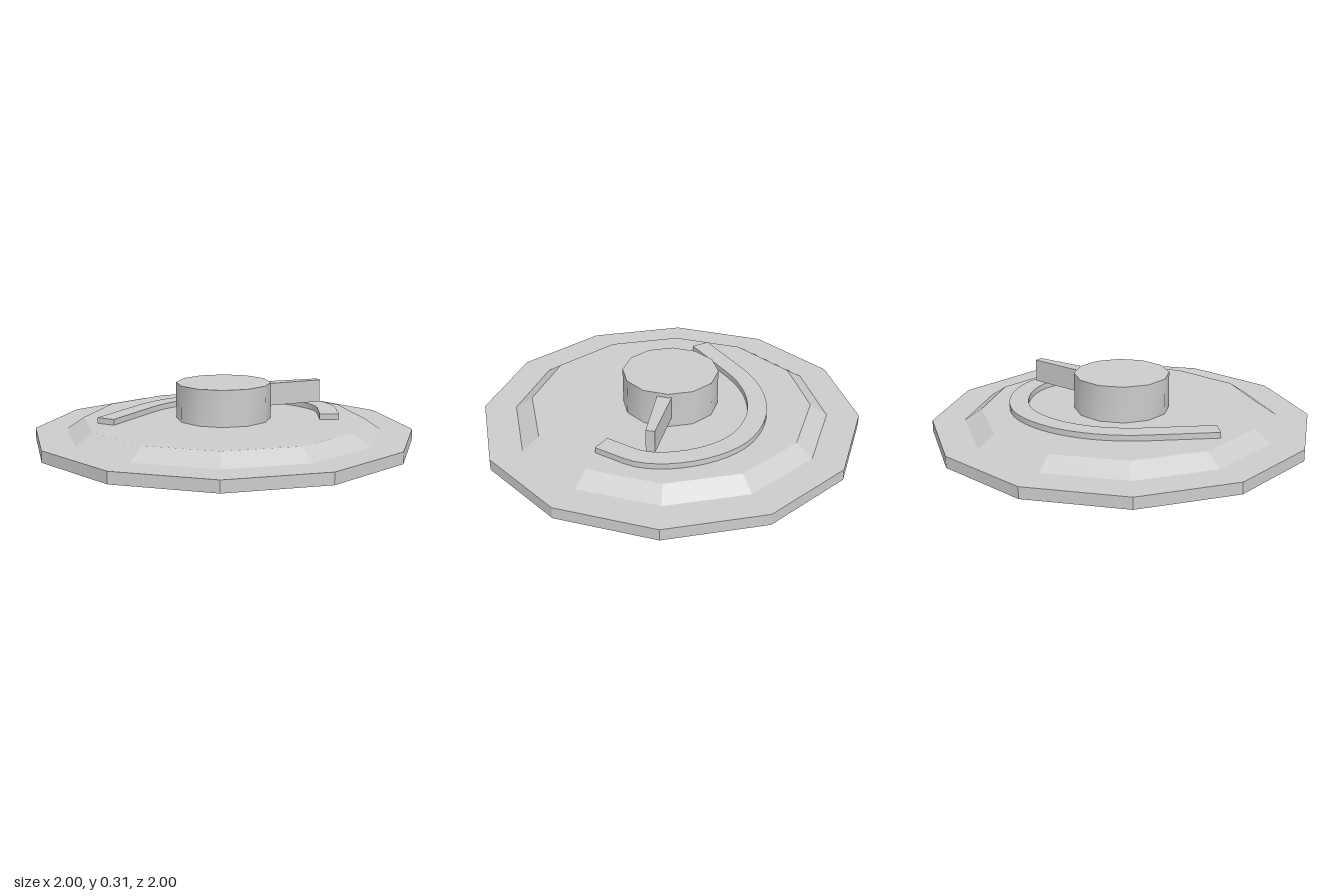
import * as THREE from 'three';
import { mergeGeometries, toCreasedNormals } from 'three/addons/utils/BufferGeometryUtils.js';

const smooth = new THREE.MeshStandardMaterial({ color: 0xcccccc, side: THREE.DoubleSide });
const flat = new THREE.MeshStandardMaterial({ color: 0xcccccc, side: THREE.DoubleSide, flatShading: true });
const V2 = (x, y) => new THREE.Vector2(x, y);

// Plan outlines use (x, -z) and run counter-clockwise seen from above.
const polygon = (r, n = 12) => Array.from({ length: n }, (_, i) =>
  V2(r * Math.cos(i * 2 * Math.PI / n), r * Math.sin(i * 2 * Math.PI / n)));

function mesh(name, geometry, material) {
  const m = new THREE.Mesh(geometry, material);
  m.name = name;
  return m;
}

// Flat horizontal sheet at height y
function sheet(outline, y, holes = []) {
  const shape = new THREE.Shape(outline);
  shape.holes = holes.map(h => new THREE.Path(h));
  return new THREE.ShapeGeometry(shape).rotateX(-Math.PI / 2).translate(0, y, 0);
}

// Raised boss: side walls and a top, left open underneath
function raised(outline, y0, y1) {
  const pos = [];
  outline.forEach((a, i) => {
    const b = outline[(i + 1) % outline.length];
    const a0 = [a.x, y0, -a.y], b0 = [b.x, y0, -b.y];
    const a1 = [a.x, y1, -a.y], b1 = [b.x, y1, -b.y];
    pos.push(...a0, ...b0, ...b1, ...a0, ...b1, ...a1);
  });
  const walls = new THREE.BufferGeometry();
  walls.setAttribute('position', new THREE.Float32BufferAttribute(pos, 3));
  const top = sheet(outline, y1).toNonIndexed();
  top.deleteAttribute('uv');
  top.deleteAttribute('normal');
  return toCreasedNormals(mergeGeometries([walls, top]), Math.PI * 35 / 180);
}

// Constant-width band around the hooked centre line
function bandOutline(half) {
  const right = new THREE.CubicBezierCurve(V2(0.555, 0.13), V2(0.55, 0.30), V2(0.32, 0.505), V2(0.11, 0.505));
  const left = new THREE.CubicBezierCurve(V2(0.11, 0.505), V2(-0.12, 0.505), V2(-0.32, 0.36), V2(-0.43, 0.155));
  const line = [V2(0.555, -0.045), ...right.getPoints(12), ...left.getPoints(12).slice(1), V2(-0.6, -0.178)];
  const offset = d => line.map((p, i) => {
    const t = line[Math.min(i + 1, line.length - 1)].clone().sub(line[Math.max(i - 1, 0)]).normalize();
    return V2(p.x + t.y * d, p.y - t.x * d);
  });
  return [...offset(half), ...offset(-half).reverse()];
}

export function createModel() {
  const model = new THREE.Group();
  model.name = 'hatchLid';

  const hub = polygon(0.25);
  const band = bandOutline(0.05);

  // Twelve-sided rim, ledge and sloping step, open below
  const profile = [V2(1, 0), V2(1, 0.06), V2(0.83, 0.06), V2(0.74, 0.12)];
  model.add(mesh('steppedRim', new THREE.LatheGeometry(profile, 12), flat));

  // Top plate, cut out beneath the raised parts
  model.add(mesh('topPlate', sheet(polygon(0.74), 0.12, [hub, band]), flat));

  // Raised parts
  model.add(mesh('hookedBand', raised(band, 0.12, 0.15), smooth));
  model.add(mesh('hub', raised(hub, 0.12, 0.31), smooth));

  // Tapered lever running out from inside the hub
  const lever = new THREE.Shape([V2(0.02, -0.025), V2(0.524, 0.198), V2(0.508, 0.24), V2(-0.01, 0.067)]);
  const leverGeometry = new THREE.ExtrudeGeometry(lever, { depth: 0.12, bevelEnabled: false })
    .rotateX(-Math.PI / 2).translate(0, 0.17, 0);
  model.add(mesh('lever', leverGeometry, flat));

  return model;
}
